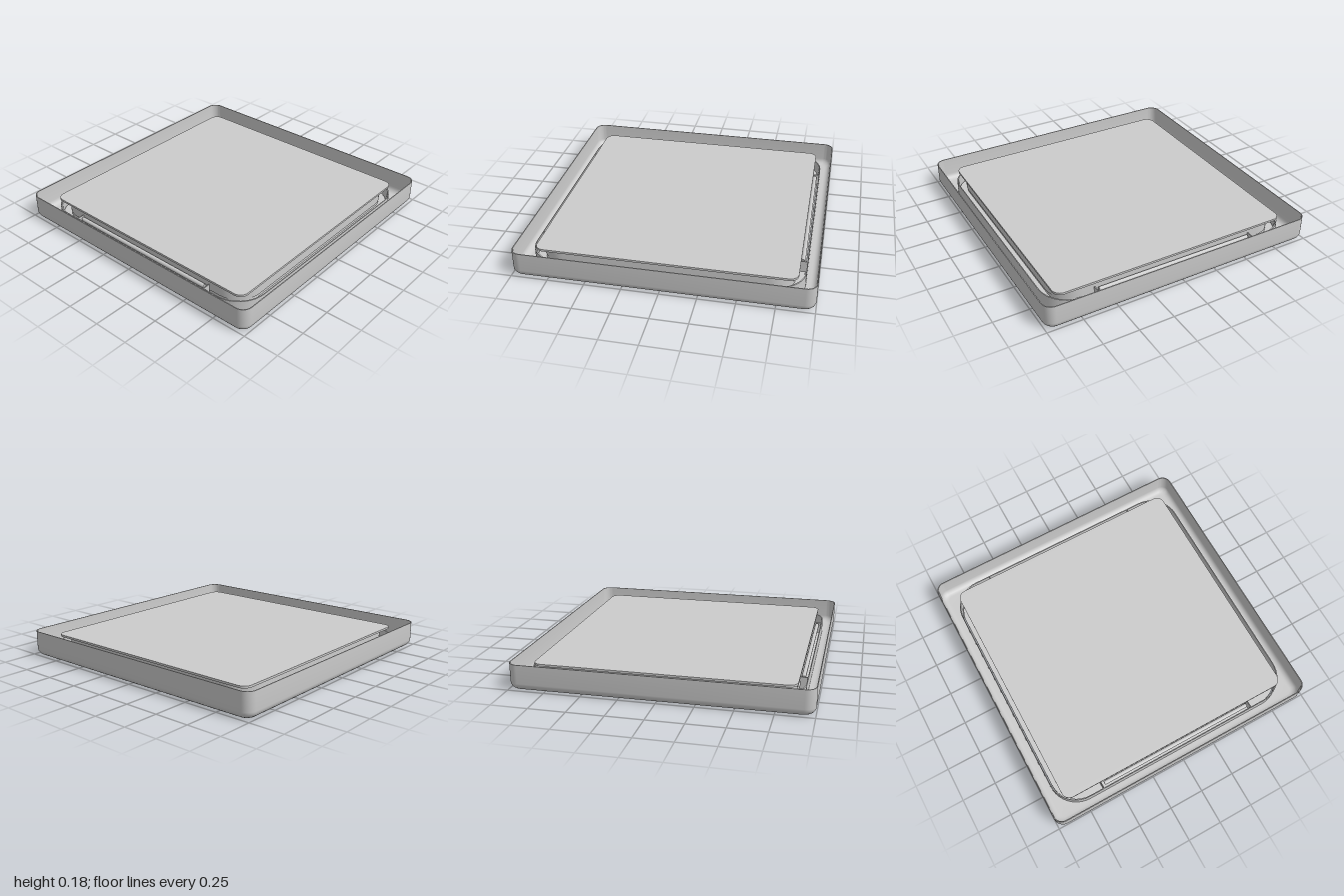
import * as THREE from 'three';
import { toCreasedNormals } from 'three/addons/utils/BufferGeometryUtils.js';

const material = new THREE.MeshStandardMaterial({ color: 0xcccccc, side: THREE.DoubleSide });

// Corner points of a rounded square, counter-clockwise, as [x, z]
function roundedLoop(half, r, steps = 10) {
  const pts = [];
  for (let c = 0; c < 4; c++) {
    const sx = c === 0 || c === 3 ? 1 : -1, sz = c < 2 ? 1 : -1;
    for (let i = 0; i <= steps; i++) {
      const a = (c + i / steps) * Math.PI / 2;
      pts.push([sx * (half - r) + r * Math.cos(a), sz * (half - r) + r * Math.sin(a)]);
    }
  }
  return pts;
}

// Closed skin through rounded squares given as [half, radius, y]
function loft(rows) {
  const loops = rows.map(([h, r]) => roundedLoop(h, r));
  const n = loops[0].length, pos = [], index = [];
  loops.forEach((loop, i) => loop.forEach(([x, z]) => pos.push(x, rows[i][2], z)));
  for (let i = 0; i < rows.length; i++) {
    const k = (i + 1) % rows.length;
    for (let j = 0; j < n; j++) {
      const m = (j + 1) % n;
      index.push(i * n + j, k * n + j, i * n + m, k * n + j, k * n + m, i * n + m);
    }
  }
  const g = new THREE.BufferGeometry();
  g.setAttribute('position', new THREE.Float32BufferAttribute(pos, 3));
  g.setIndex(index);
  return toCreasedNormals(g, 0.6);
}

const roundedShape = (half, r) =>
  new THREE.Shape(roundedLoop(half, r).map(([x, z]) => new THREE.Vector2(x, z)));

// Flat slab standing between two heights
function slab(shape, y0, y1) {
  const g = new THREE.ExtrudeGeometry(shape, { depth: y1 - y0, bevelEnabled: false, curveSegments: 10 });
  g.rotateX(-Math.PI / 2).translate(0, y0, 0);
  return toCreasedNormals(g, 0.6);
}

export function createModel() {
  const model = new THREE.Group();
  const add = (name, geometry, x = 0, y = 0, z = 0, parent = model) => {
    const mesh = new THREE.Mesh(geometry, material);
    mesh.name = name;
    mesh.position.set(x, y, z);
    parent.add(mesh);
    return mesh;
  };
  const box = (name, w, h, d, x, y, z, parent) =>
    add(name, new THREE.BoxGeometry(w, h, d), x, y, z, parent);

  // Outer tray: underside, bottom fillet, thin wall, inner floor, duct collar
  const rows = [[0.914, 0.21, 0]];
  const fillet = 0.05, wall = 0.006;
  for (let i = 0; i <= 6; i++) {
    const a = i / 6 * Math.PI / 2;
    rows.push([1 - fillet + fillet * Math.sin(a), 0.04 + 0.03 * Math.sin(a), fillet * (1 - Math.cos(a))]);
  }
  rows.push([1, 0.07, 0.18], [1 - wall, 0.064, 0.18]);
  for (let i = 6; i >= 0; i--) {
    const a = i / 6 * Math.PI / 2, r = fillet - wall;
    rows.push([1 - fillet + r * Math.sin(a), 0.04 + 0.024 * Math.sin(a), fillet - r * Math.cos(a)]);
  }
  rows.push([0.92, 0.21, wall], [0.92, 0.21, 0.1], [0.914, 0.21, 0.1]);
  add('outerTray', loft(rows));

  // Top plate and the housing below it
  add('topPlate', slab(roundedShape(0.875, 0.06), 0.135, 0.15));
  add('housing', slab(roundedShape(0.86, 0.18), 0.055, 0.135));

  // End pieces of the outlet ring, front and back
  const end = new THREE.Shape();
  end.moveTo(0.906, 0.603);
  end.lineTo(0.906, 0.706);
  end.absarc(0.706, 0.706, 0.2, 0, Math.PI / 2);
  end.absarc(-0.706, 0.706, 0.2, Math.PI / 2, Math.PI);
  end.lineTo(-0.906, 0.603);
  end.lineTo(-0.785, 0.603);
  end.lineTo(-0.785, 0.685);
  end.absarc(-0.685, 0.685, 0.1, Math.PI, Math.PI / 2, true);
  end.absarc(0.685, 0.685, 0.1, Math.PI / 2, 0, true);
  end.lineTo(0.785, 0.603);
  const endGeometry = slab(end, 0, 0.025);
  for (const turn of [0, Math.PI]) add('ringEnd', endGeometry).rotation.y = turn;

  // Side flaps with hinge rods and end partitions
  for (const s of [-1, 1]) {
    box('sideFlap', 0.121, 0.025, 1.194, s * 0.8455, 0.0125, 0);
    const rod = add('flapHinge', new THREE.CylinderGeometry(0.015, 0.015, 1.16, 12), s * 0.885, 0.09, 0);
    rod.rotation.x = Math.PI / 2;
    for (const e of [-1, 1]) box('ductPartition', 0.05, 0.08, 0.006, s * 0.89, 0.065, e * 0.6);
  }

  // Backing that closes the grooves from behind
  const backing = roundedShape(0.85, 0.15);
  backing.holes.push(new THREE.Path(roundedShape(0.525, 0.004).getPoints()));
  add('grooveBacking', slab(backing, 0.025, 0.055));

  // Centre panel with the intake opening
  const panel = roundedShape(0.77, 0.09);
  panel.holes.push(new THREE.Path(roundedShape(0.52, 0.004).getPoints()));
  add('centrePanel', slab(panel, 0, 0.025));

  // Intake grille: slats along x, dividers along z
  const grille = new THREE.Group();
  grille.name = 'intakeGrille';
  model.add(grille);
  const count = 26, pitch = 1.04 / count;
  for (let i = 0; i < count; i++) {
    box('slat', 1.04, 0.03, 0.014, 0, 0.02, -0.52 + pitch * (i + 0.5), grille);
  }
  for (const x of [-0.26, 0, 0.26]) box('divider', 0.016, 0.04, 1.04, x, 0.024, 0, grille);

  return model;
}
